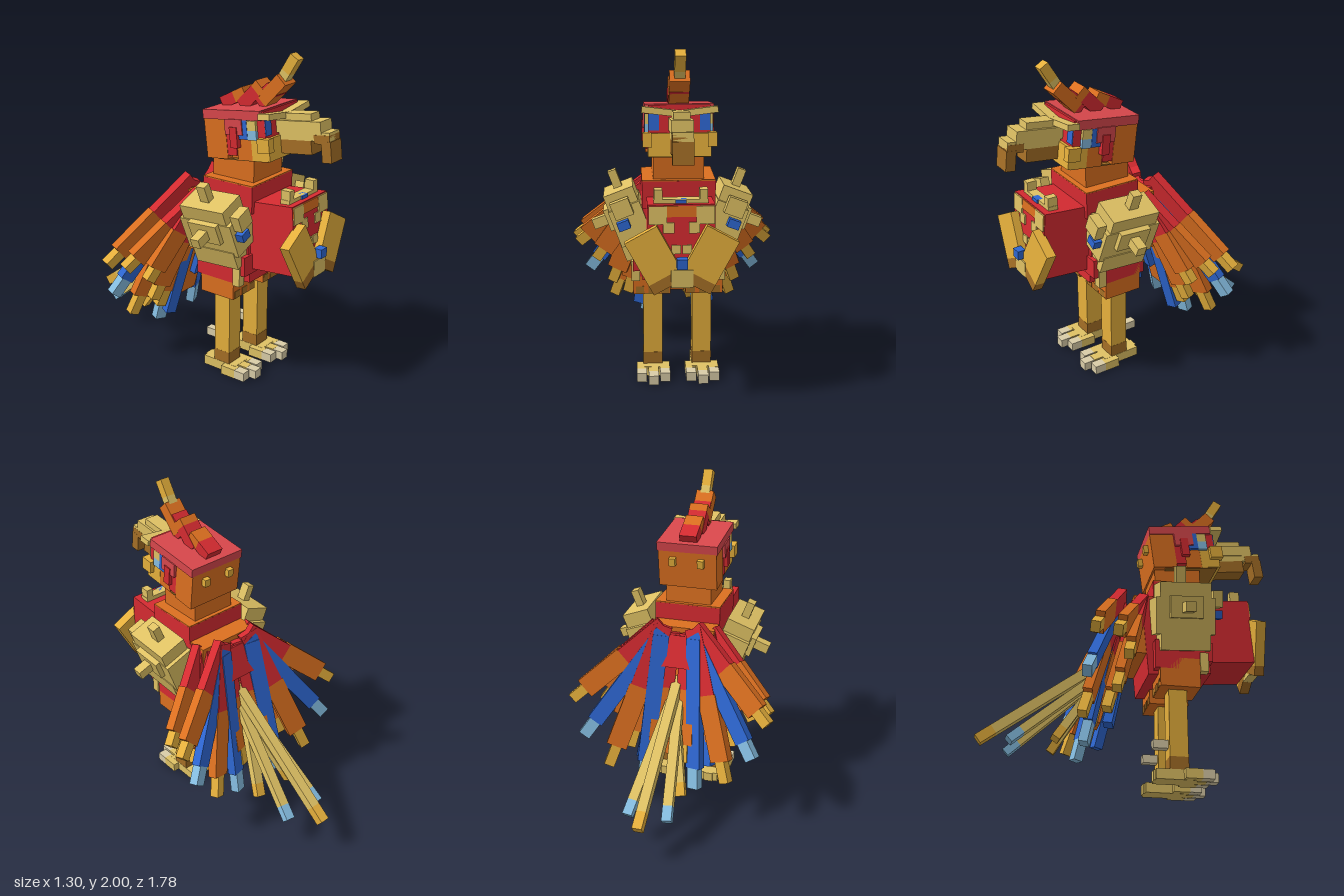
import * as THREE from 'three';

const mat = (name, color) => new THREE.MeshStandardMaterial({ name, color });
const M = {
  red: mat('red', 0xd62b31), rose: mat('rose', 0xd9474c), orange: mat('orange', 0xdc7020),
  gold: mat('gold', 0xe6b03c), sand: mat('sand', 0xe0c264), brown: mat('brown', 0xa56f26),
  blue: mat('blue', 0x2e67d2), sky: mat('sky blue', 0x86bee2), bone: mat('bone', 0xdacda8),
};

// Box by size and centre
function box(parent, name, color, [w, h, d], [x, y, z], rot = [0, 0, 0]) {
  const m = new THREE.Mesh(new THREE.BoxGeometry(w, h, d), M[color]);
  m.name = name;
  m.position.set(x, y, z);
  m.rotation.set(...rot);
  parent.add(m);
  return m;
}

function group(parent, name, pos, rot = [0, 0, 0]) {
  const g = new THREE.Group();
  g.name = name;
  g.position.set(...pos);
  g.rotation.set(...rot);
  parent.add(g);
  return g;
}

// Straight bar from a to b, split along its length: parts are [color, end fraction, width]
function beam(parent, name, a, b, thick, hint, parts) {
  const A = new THREE.Vector3(...a), dir = new THREE.Vector3(...b).sub(A);
  const len = dir.length();
  dir.normalize();
  const side = dir.clone().cross(new THREE.Vector3(...hint)).normalize();
  const g = group(parent, name, a);
  g.setRotationFromMatrix(new THREE.Matrix4().makeBasis(side, dir, side.clone().cross(dir)));
  let from = 0;
  parts.forEach(([color, to, w], i) => {
    box(g, name + 'Part' + (i + 1), color, [w, (to - from) * len, thick], [0, (from + to) / 2 * len, 0]);
    from = to;
  });
}

export function createModel() {
  const root = new THREE.Group();
  root.name = 'bird';

  // Body, chest and neck
  const body = group(root, 'body', [0, 0, 0]);
  box(body, 'torso', 'red', [0.42, 0.5, 0.38], [0, 0.89, 0.26], [-0.08, 0, 0]);
  box(body, 'belly', 'red', [0.53, 0.18, 0.27], [0, 0.74, 0.255]);
  box(body, 'bellyFront', 'red', [0.53, 0.12, 0.08], [0, 0.77, 0.43]);
  box(body, 'back', 'orange', [0.41, 0.38, 0.12], [0, 0.95, 0.065]);
  box(body, 'rump', 'red', [0.2, 0.2, 0.12], [0, 1.0, -0.04], [0.35, 0, 0]);
  box(body, 'collar', 'red', [0.42, 0.16, 0.35], [0, 1.165, 0.3]);
  box(body, 'collarTop', 'orange', [0.419, 0.008, 0.349], [0, 1.248, 0.3]);
  box(body, 'neck', 'orange', [0.29, 0.2, 0.29], [0, 1.33, 0.295]);
  const chest = group(root, 'chest', [0, 0.955, 0.58], [-0.09, 0, 0]);
  box(chest, 'chestBlock', 'red', [0.37, 0.415, 0.34], [0, 0, 0]);
  box(chest, 'chestBand', 'orange', [0.36, 0.06, 0.008], [0, 0.17, 0.172]);
  box(root, 'chestRim', 'sand', [0.3, 0.05, 0.06], [0, 1.17, 0.66]);
  for (const s of [-1, 1]) {
    box(chest, 'chestEdge', 'sand', [0.1, 0.1, 0.009], [s * 0.13, 0.15, 0.174]);
    box(chest, 'chestPatch', 'sand', [0.06, 0.06, 0.009], [s * 0.07, 0.08, 0.174]);
    box(chest, 'chestStep', 'sand', [0.05, 0.05, 0.009], [s * 0.03, -0.04, 0.174]);
    box(root, 'chestSpike', 'sand', [0.045, 0.08, 0.06], [s * 0.125, 1.21, 0.66]);
    const plate = group(root, 'breastPlate', [s * 0.145, 0.88, 0.775], [-0.07, 0, -s * 0.5]);
    box(plate, 'plateFace', 'gold', [0.2, 0.27, 0.06], [0, 0.03, 0]);
    box(plate, 'plateTrim', 'brown', [0.2, 0.06, 0.06], [0, -0.135, 0]);
  }
  box(root, 'chestBoss', 'sand', [0.12, 0.1, 0.06], [0, 0.78, 0.785]);
  box(root, 'chestGem', 'blue', [0.06, 0.055, 0.05], [0, 0.87, 0.815]);
  box(root, 'throatGem', 'blue', [0.06, 0.03, 0.04], [0, 1.18, 0.68]);

  // Head, tilted slightly upward
  const head = group(root, 'head', [0, 1.525, 0.335], [-0.12, 0, 0]);
  box(head, 'skull', 'orange', [0.37, 0.235, 0.15], [0, -0.025, -0.14]);
  box(head, 'temple', 'red', [0.365, 0.26, 0.07], [0, 0.01, -0.035]);
  box(head, 'face', 'red', [0.345, 0.16, 0.2], [0, 0.06, 0.1]);
  box(head, 'jaw', 'orange', [0.347, 0.13, 0.11], [0, -0.08, 0.055]);
  box(head, 'jawFront', 'gold', [0.35, 0.13, 0.12], [0, -0.08, 0.16]);
  box(head, 'jawUnderside', 'brown', [0.34, 0.008, 0.34], [0, -0.146, 0.03]);
  box(head, 'crown', 'rose', [0.385, 0.055, 0.4], [0, 0.118, -0.015]);
  for (const s of [-1, 1]) {
    box(head, 'brow', 'sand', [0.2, 0.035, 0.075], [s * 0.11, 0.105, 0.222], [0, 0, s * 0.12]);
    box(head, 'browTip', 'rose', [0.03, 0.09, 0.12], [s * 0.185, 0.05, 0.0]);
    box(head, 'eye', 'blue', [0.05, 0.11, 0.06], [s * 0.168, 0.035, 0.06]);
    box(head, 'eyeLight', 'sky', [0.05, 0.055, 0.06], [s * 0.166, 0.005, 0.12]);
    box(head, 'eyelid', 'sand', [0.05, 0.055, 0.06], [s * 0.166, 0.06, 0.12]);
    box(head, 'eyeFront', 'blue', [0.058, 0.09, 0.006], [s * 0.143, 0.045, 0.202]);
    box(head, 'cheek', 'gold', [0.05, 0.08, 0.08], [s * 0.18, -0.05, 0.2]);
    box(head, 'cheekFeather', 'red', [0.04, 0.12, 0.05], [s * 0.187, -0.01, 0]);
    box(head, 'rearStud', 'gold', [0.04, 0.05, 0.04], [s * 0.09, 0.03, -0.225]);
  }
  // Beak
  box(head, 'upperBeak', 'sand', [0.12, 0.07, 0.3], [0, 0.035, 0.34]);
  box(head, 'beakRidge', 'sand', [0.09, 0.05, 0.23], [0, 0.085, 0.31]);
  box(head, 'beakStep', 'sand', [0.11, 0.05, 0.33], [0, -0.015, 0.375]);
  box(head, 'beakHook', 'brown', [0.115, 0.12, 0.06], [0, -0.1, 0.515]);
  box(head, 'beakBridge', 'brown', [0.113, 0.05, 0.1], [0, -0.03, 0.49]);
  box(head, 'lowerBeak', 'brown', [0.11, 0.08, 0.22], [0, -0.08, 0.31]);

  // Crest, from the nape up to the tip
  const crest = group(root, 'crest', [0, 0, 0]);
  [
    [[0, 1.66, 0.14], [0, 1.745, 0.3], 0.07, [['red', 0.55, 0.11], ['orange', 1, 0.11]]],
    [[0, 1.66, 0.28], [0, 1.8, 0.41], 0.08, [['red', 0.75, 0.115], ['orange', 1, 0.115]]],
    [[0, 1.70, 0.39], [0, 1.79, 0.49], 0.09, [['red', 1, 0.11]]],
    [[0, 1.71, 0.42], [0, 1.85, 0.55], 0.08, [['orange', 1, 0.112]]],
    [[0, 1.8, 0.505], [0, 1.982, 0.615], 0.06, [['sand', 0.5, 0.06], ['gold', 1, 0.06]]],
  ].forEach(([a, b, t, parts], i) => beam(crest, 'crestPiece' + (i + 1), a, b, t, [0, 1, -1], parts));

  for (const s of [-1, 1]) {
    // Shoulder guards: stacked blocks with studs
    const guard = group(root, 'shoulderGuard', [s * 0.28, 0.99, 0.285], [-0.06, 0, -s * 0.36]);
    box(guard, 'guardMiddle', 'sand', [0.19, 0.22, 0.36], [0, -0.01, 0]);
    box(guard, 'guardTop', 'sand', [0.18, 0.1, 0.31], [0, 0.14, 0]);
    box(guard, 'guardBottom', 'sand', [0.16, 0.12, 0.3], [s * 0.02, -0.155, 0]);
    box(guard, 'guardFace', 'sand', [0.05, 0.13, 0.2], [s * 0.1, 0.04, 0]);
    box(guard, 'topStud', 'sand', [0.05, 0.14, 0.06], [0, 0.225, -0.015]);
    box(guard, 'outerStud', 'sand', [0.1, 0.06, 0.06], [s * 0.165, 0.035, 0]);
    box(guard, 'frontStud', 'sand', [0.11, 0.1, 0.06], [s * 0.01, 0.1, 0.205]);
    box(guard, 'guardGem', 'blue', [0.07, 0.05, 0.05], [s * 0.035, 0.005, 0.205]);

    // Thighs, legs and clawed feet
    box(root, 'thigh', 'orange', [0.22, 0.18, 0.24], [s * 0.155, 0.63, 0.27]);
    box(root, 'thighBar', 'orange', [0.1, 0.1, 0.2], [s * 0.05, 0.65, 0.27]);
    for (const x of [0.075, 0.15, 0.225])
      box(root, 'thighPatch', 'brown', [0.05, 0.045, 0.245], [s * x, 0.565, 0.27]);
    box(root, 'hipFeather', 'sand', [0.05, 0.12, 0.05], [s * 0.25, 0.7, 0.415]);
    box(root, 'leg', 'gold', [0.115, 0.42, 0.11], [s * 0.148, 0.34, 0.265]);
    box(root, 'ankle', 'brown', [0.117, 0.08, 0.112], [s * 0.148, 0.095, 0.265]);
    box(root, 'foot', 'sand', [0.12, 0.06, 0.24], [s * 0.148, 0.03, 0.25]);
    box(root, 'heel', 'sand', [0.06, 0.06, 0.06], [s * 0.148, 0.03, 0.15]);
    for (const k of [-1, 0, 1]) {
      const x = s * 0.148 + k * 0.07, z = k ? 0.36 : 0.4;
      box(root, 'toe', 'sand', [0.06, 0.058, 0.1], [x, 0.03, z - 0.02]);
      box(root, 'claw', 'bone', [0.06, 0.056, 0.07], [x, 0.03, z + 0.065]);
    }
    box(root, 'spur', 'bone', [0.05, 0.05, 0.09], [s * 0.148, 0.215, 0.165]);

    // Wing feathers, rear layer then front layer
    const wing = group(root, s > 0 ? 'leftWing' : 'rightWing', [0, 0, 0]);
    const long = [['red', 0.43, 0.115], ['orange', 0.86, 0.13], ['gold', 1, 0.065]];
    const blue = [['blue', 0.86, 0.1], ['sky', 1, 0.075]];
    const rear = [0.1, 1.17, -0.05], front = [0.17, 1.11, 0.07];
    [
      [rear, [0.62, 0.71, -0.29], long],
      [[0.1, 1.13, -0.06], [0.54, 0.48, -0.32], blue],
      [rear, [0.38, 0.29, -0.32], long],
      [[0.11, 1.11, -0.07], [0.17, 0.19, -0.28], blue],
      [[0.06, 1.12, -0.03], [0.09, 0.34, -0.23], long],
      [front, [0.6, 0.71, -0.16], long],
      [front, [0.49, 0.62, -0.08], long],
      [[0.16, 1.1, 0.06], [0.39, 0.45, -0.13], long],
      [[0.13, 1.1, 0.04], [0.29, 0.36, -0.17], long],
      [[0.11, 1.08, 0.03], [0.22, 0.29, -0.15], [['blue', 1, 0.07]]],
    ].forEach(([a, b, parts], i) => beam(wing, 'wingFeather' + (i + 1),
      [s * a[0], a[1], a[2]], [s * b[0], b[1], b[2]], 0.055, [-s * 0.33, 0.27, -0.9], parts));

    // Side tail feathers
    beam(root, 'sideTail', [0, 0.82, 0], [s * 0.122, 0.2, -0.7], 0.05, [0, 0.7, -0.7],
      [['sand', 0.9, 0.06], ['sky', 1, 0.06]]);
    beam(root, 'shortTail', [0, 0.68, -0.15], [s * 0.13, 0.22, -0.44], 0.05, [0, 0.6, -0.8],
      [['sand', 0.85, 0.06], ['gold', 1, 0.06]]);
  }
  // Middle tail feathers
  beam(root, 'centreTail', [0, 0.87, 0], [0, 0.23, -0.87], 0.06, [0, 0.8, -0.6],
    [['sand', 0.9, 0.06], ['gold', 1, 0.06]]);
  beam(root, 'innerTail', [0, 0.95, -0.03], [0, 0.36, -0.19], 0.04, [0, 0.2, -0.9], [['orange', 1, 0.14]]);
  beam(root, 'underTail', [0, 0.88, 0.01], [0, 0.5, -0.11], 0.04, [0, 0.3, -0.9], [['blue', 1, 0.06]]);

  return root;
}
